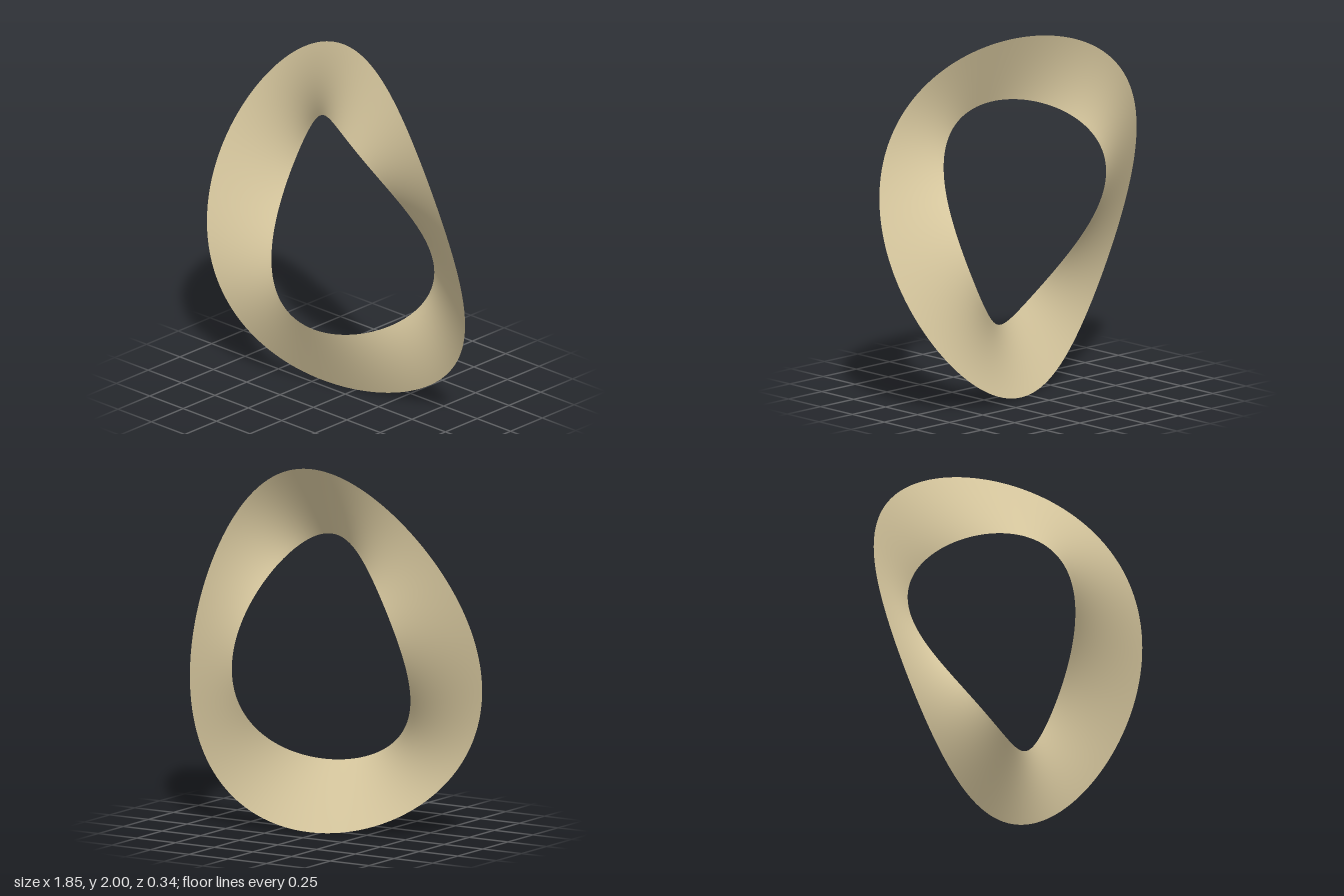
import * as THREE from 'three';

// Thin oval ribbon: a saddle-waved centre line with a tilt that swings twice per turn
export function createModel() {
  const around = 256, across = 12;
  const rx = 0.735, ry = 0.81, halfWidth = 0.19; // centre oval and ribbon half-width
  const wave = 0.147, tilt = 0.085;              // depth of the wave and of the tilt

  const positions = [], indices = [];
  for (let i = 0; i < around; i++) {
    const a = (i / around) * Math.PI * 2;
    for (let j = 0; j <= across; j++) {
      const t = (j / across) * 2 - 1; // -1 inner edge, +1 outer edge
      positions.push(
        (rx + halfWidth * t) * Math.cos(a),
        1 + (ry + halfWidth * t) * Math.sin(a),
        wave * Math.sin(2 * a) + tilt * t * Math.cos(2 * a)
      );
    }
  }
  // Quads between neighbouring cross-sections, closing the loop without a seam
  const row = across + 1;
  for (let i = 0; i < around; i++) {
    for (let j = 0; j < across; j++) {
      const p = i * row + j, q = ((i + 1) % around) * row + j;
      indices.push(p, p + 1, q + 1, p, q + 1, q);
    }
  }

  const geometry = new THREE.BufferGeometry();
  geometry.setAttribute('position', new THREE.Float32BufferAttribute(positions, 3));
  geometry.setIndex(indices);
  geometry.computeVertexNormals();

  const ribbon = new THREE.Mesh(
    geometry,
    new THREE.MeshStandardMaterial({ color: 0xdccca2, side: THREE.DoubleSide })
  );
  ribbon.name = 'twistedRibbon';

  const group = new THREE.Group();
  group.name = 'ribbonRing';
  group.add(ribbon);
  return group;
}
